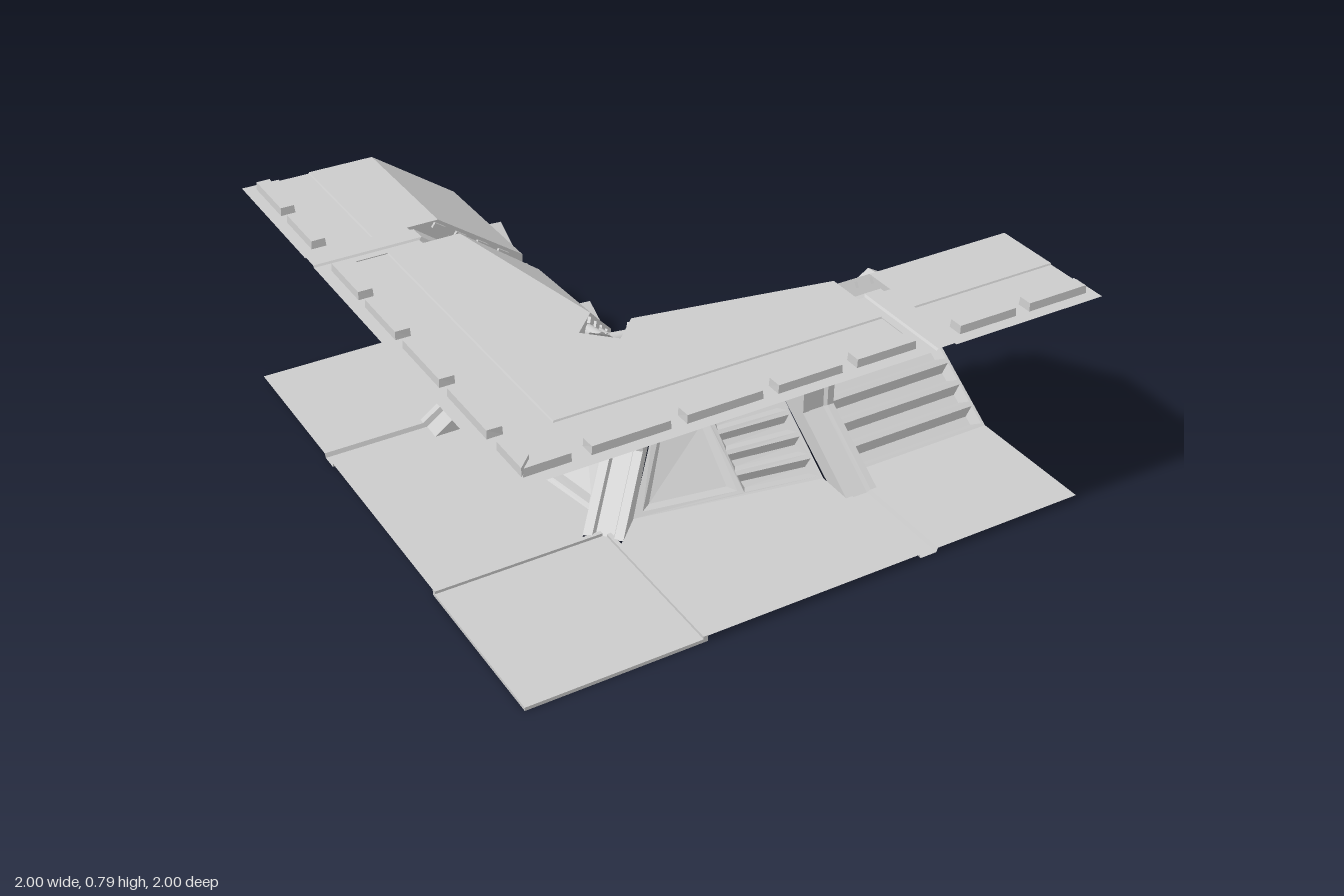
import * as THREE from 'three';
import { mergeGeometries } from 'three/addons/utils/BufferGeometryUtils.js';

const flat = new THREE.MeshStandardMaterial({ color: 0xcccccc, flatShading: true, side: THREE.DoubleSide });
const smooth = new THREE.MeshStandardMaterial({ color: 0xcccccc, side: THREE.DoubleSide });
const V = (x, y, z) => new THREE.Vector3(x, y, z);

function add(parent, name, geo, mat = flat) {
  const mesh = new THREE.Mesh(geo, mat);
  mesh.name = name;
  parent.add(mesh);
  return mesh;
}

// Loose triangles from a list of quads (four Vector3 each)
function quads(list) {
  const geo = new THREE.BufferGeometry().setFromPoints(list.flatMap(([a, b, c, d]) => [a, b, c, a, c, d]));
  geo.computeVertexNormals();
  return geo;
}

// Four-cornered sheet with stepped pockets; pocket points are 0..1 across A-B and A-D,
// and each step is [inset, depth], the last one closing the pocket
function panel(parent, name, [A, B, C, D], pockets = []) {
  const normal = B.clone().sub(A).cross(D.clone().sub(A)).normalize();
  const lenU = A.distanceTo(B), lenV = A.distanceTo(D);
  const at = (u, v, h = 0) => A.clone().lerp(B, u).lerp(D.clone().lerp(C, u), v).addScaledVector(normal, h);
  const sheet = (pts, holes, h) => {
    const shape = new THREE.Shape(pts.map(p => new THREE.Vector2(...p)));
    shape.holes = holes.map(q => new THREE.Path(q.map(p => new THREE.Vector2(...p))));
    const g = new THREE.ShapeGeometry(shape).toNonIndexed();
    const pos = g.attributes.position;
    for (let i = 0; i < pos.count; i++) pos.setXYZ(i, ...at(pos.getX(i), pos.getY(i), h).toArray());
    g.deleteAttribute('uv');
    g.computeVertexNormals();
    return g;
  };
  const parts = [sheet([[0, 0], [1, 0], [1, 1], [0, 1]], pockets.map(p => p.pts), 0)];
  for (const { pts, steps } of pockets) {
    const us = pts.map(p => p[0]), vs = pts.map(p => p[1]);
    const u0 = Math.min(...us), u1 = Math.max(...us), v0 = Math.min(...vs), v1 = Math.max(...vs);
    const cu = (u0 + u1) / 2, cv = (v0 + v1) / 2;
    let ring = pts, height = 0;
    for (const [inset, depth] of steps) {
      const su = 1 - 2 * inset / lenU / (u1 - u0), sv = 1 - 2 * inset / lenV / (v1 - v0);
      const next = pts.map(([u, v]) => [cu + (u - cu) * su, cv + (v - cv) * sv]);
      parts.push(quads(ring.map((p, i) => {
        const j = (i + 1) % pts.length;
        return [at(...p, height), at(...ring[j], height), at(...next[j], depth), at(...next[i], depth)];
      })));
      ring = next;
      height = depth;
    }
    parts.push(sheet(ring, [], height));
  }
  return add(parent, name, mergeGeometries(parts));
}

// Flat polygon given as [x, z] points
function deck(parent, name, y, pts) {
  const g = new THREE.ShapeGeometry(new THREE.Shape(pts.map(([x, z]) => new THREE.Vector2(x, -z))));
  return add(parent, name, g.rotateX(-Math.PI / 2).translate(0, y, 0));
}

function box(parent, name, x0, x1, y0, y1, z0, z1) {
  return add(parent, name, new THREE.BoxGeometry(x1 - x0, y1 - y0, z1 - z0)
    .translate((x0 + x1) / 2, (y0 + y1) / 2, (z0 + z1) / 2));
}

// Upright wall with a rimmed hexagonal recess between two side recesses
function wall(parent, x0, x1, yLeft, yRight, cx, R, sides) {
  const uv = pts => pts.map(([x, y]) => [(x - x0) / (x1 - x0), (y - 0.22) / (yRight - 0.22)]);
  const hex = Array.from({ length: 6 }, (_, i) =>
    [cx + R * Math.sin(i * Math.PI / 3) * 0.97, 0.385 + R * Math.cos(i * Math.PI / 3)]);
  const pockets = [{ pts: uv(hex), steps: [[0.003, -0.05], [0.022, -0.05], [0.024, -0.038]] }];
  for (const [near, far] of sides)
    pockets.push({ pts: uv([[near, 0.34], [far, 0.27], [far, 0.5], [near, 0.43]]), steps: [[0.003, -0.03]] });
  panel(parent, 'wall', [V(x0, 0.22, 0.23), V(x1, 0.22, 0.23), V(x1, yRight, 0.23), V(x0, yLeft, 0.23)], pockets);
}

// Lower slope with four louvers from x0 to x1, and extra pockets given as [x, v] outlines
function lowerSlope(parent, name, corners, x0, x1, extra = []) {
  const [a, b, c, d] = corners;
  const u = (x, v) => {
    const left = THREE.MathUtils.lerp(a.x, d.x, v), right = THREE.MathUtils.lerp(b.x, c.x, v);
    return (x - left) / (right - left);
  };
  const pocket = (pts, steps) => ({ pts: pts.map(([x, v]) => [u(x, v), v]), steps });
  const slats = [0, 1, 2, 3].map(i => {
    const v0 = 0.03 + i * 0.24, v1 = v0 + 0.19;
    return pocket([[x0, v0], [x1, v0], [x1, v1], [x0, v1]], [[0.018, -0.035]]);
  });
  panel(parent, name, corners, [...slats, ...extra.map(pts => pocket(pts, [[0.025, -0.03]]))]);
}

// Folded rib: a grooved strip following a (z, y) profile, with jambs out to the panel edges
function rib(inner, outer, edge, half) {
  const g = new THREE.Group();
  const section = [[-half, 0], [-0.036, 0], [-0.03, 1], [0.03, 1], [0.036, 0], [half, 0]];
  const point = ([t, k], i) => V(t, THREE.MathUtils.lerp(inner[i][1], outer[i][1], k),
    THREE.MathUtils.lerp(inner[i][0], outer[i][0], k));
  const list = [];
  for (let i = 0; i < inner.length - 1; i++)
    for (let j = 0; j < section.length - 1; j++)
      list.push([point(section[j], i), point(section[j + 1], i), point(section[j + 1], i + 1), point(section[j], i + 1)]);
  add(g, 'ribStrip', quads(list));
  const bend = inner.length === 6 ? inner.slice(1, 5) : inner;
  for (const s of [-1, 1]) {
    const jamb = [];
    for (let i = 0; i < 3; i++) {
      const e = [edge[i], edge[i + 1]].map(p => V(s * half, p[1], p[0]));
      const r = [bend[i + 1], bend[i]].map(p => V(s * half, p[1], p[0]));
      jamb.push([...e, ...r]);
      // Small blocks on the jamb: two on the upright, four on each slope
      const dir = e[1].clone().sub(e[0]), count = i === 1 ? 2 : 4;
      const lean = r[0].clone().add(r[1]).sub(e[0]).sub(e[1]).multiplyScalar(0.15);
      for (let k = 0; k < count; k++) {
        const block = add(g, 'jambBlock', new THREE.BoxGeometry(0.01, 0.045, 0.02));
        block.position.copy(e[0]).addScaledVector(dir, (k + 0.5) / count).add(lean);
        block.position.x -= s * 0.005;
        block.rotation.x = Math.atan2(dir.z, dir.y);
      }
    }
    add(g, 'ribJamb', quads(jamb));
  }
  return g;
}

// Ceiling edge strip with raised bars (outlines in x, z), plus the shallow channel beside it
function ceilingEdge(parent, x0, x1, bars) {
  const mitre = z => (x0 === -1 ? -z : x0);
  const toUV = ([x, z]) => [(x - mitre(z)) / (x1 - mitre(z)), (1 - z) / 0.13];
  panel(parent, 'ceilingEdge',
    [V(x0, 0.762, 1), V(x1, 0.762, 1), V(x1, 0.762, 0.87), V(mitre(0.87), 0.762, 0.87)],
    bars.map(([a, b, start = a]) => ({
      pts: [[a, 0.96], [b, 0.96], [b, 0.91], [start, 0.91]].map(toUV), steps: [[0.002, 0.027]],
    })));
  const row = (z, y) => [V(mitre(z), y, z), V(x1, y, z)];
  const rows = [row(0.87, 0.762), row(0.867, 0.757), row(0.763, 0.757), row(0.76, 0.762)];
  add(parent, 'ceilingChannel', quads([0, 1, 2].map(i => [...rows[i], rows[i + 1][1], rows[i + 1][0]])));
}

function pipe(parent, from, to, r) {
  const dir = to.clone().sub(from);
  const mesh = add(parent, 'pipe', new THREE.CylinderGeometry(r, r, dir.length(), 16), smooth);
  mesh.position.copy(from).addScaledVector(dir, 0.5);
  mesh.quaternion.setFromUnitVectors(V(0, 1, 0), dir.normalize());
}

function buildArm() {
  const arm = new THREE.Group();

  // Ceiling
  ceilingEdge(arm, -1, 0.35, [[-0.957, -0.81, -0.907], [-0.75, -0.5], [-0.45, -0.2], [-0.15, 0.07], [0.12, 0.33]]);
  ceilingEdge(arm, 0.47, 1, [[0.49, 0.7], [0.75, 0.97]]);
  deck(arm, 'cornerCeiling', 0.762,
    [[-0.76, 0.76], [0.35, 0.76], [0.35, 0.51], [-0.3, 0.39], [-0.385, 0.475], [-0.43, 0.43]]);
  deck(arm, 'endCeiling', 0.762, [[0.47, 0.76], [1, 0.76], [1, 0.53], [0.47, 0.53]]);

  // Upper slopes
  panel(arm, 'cornerUpperSlope', [V(-0.13, 0.57, 0.23), V(0.35, 0.55, 0.23), V(0.35, 0.762, 0.51), V(-0.3, 0.762, 0.39)]);
  panel(arm, 'endUpperSlope', [V(0.47, 0.55, 0.23), V(1, 0.55, 0.23), V(1, 0.762, 0.53), V(0.47, 0.762, 0.53)]);

  // Walls
  wall(arm, -0.13, 0.35, 0.57, 0.55, 0.09, 0.152, [[-0.065, -0.12], [0.24, 0.32]]);
  wall(arm, 0.47, 1, 0.55, 0.55, 0.73, 0.158, [[0.56, 0.49], [0.91, 0.99]]);

  // Lower slopes
  lowerSlope(arm, 'cornerLowerSlope',
    [V(-0.3, 0.02, 0.39), V(0.35, 0.02, 0.51), V(0.35, 0.22, 0.23), V(-0.13, 0.22, 0.23)], 0.08, 0.34,
    [[[-0.26, 0.06], [0.06, 0.06], [0.06, 0.95], [-0.11, 0.95]]]);
  lowerSlope(arm, 'endLowerSlope',
    [V(0.47, 0.02, 0.53), V(1, 0.02, 0.53), V(1, 0.22, 0.23), V(0.47, 0.22, 0.23)], 0.48, 0.99);

  // Floor
  deck(arm, 'cornerFloor', 0.02, [[-0.4, 1], [0.35, 1], [0.35, 0.51], [-0.3, 0.39], [-0.4, 0.49]]);
  deck(arm, 'endFloor', 0.02, [[0.47, 1], [1, 1], [1, 0.53], [0.47, 0.53]]);
  box(arm, 'floorLip', -0.41, -0.395, 0, 0.022, 0.42, 1);

  // Rib between the two bays
  const bayRib = rib(
    [[1, 0.762], [0.64, 0.762], [0.38, 0.56], [0.38, 0.2], [0.64, 0.02], [1, 0.02]],
    [[1, 0.768], [0.63, 0.768], [0.365, 0.57], [0.365, 0.19], [0.63, 0.005], [1, 0.005]],
    [[0.53, 0.762], [0.23, 0.55], [0.23, 0.22], [0.53, 0.02]], 0.06);
  bayRib.name = 'bayRib';
  bayRib.position.x = 0.41;
  arm.add(bayRib);
  box(arm, 'ribCeilingBlock', 0.35, 0.47, 0.727, 0.76, 0.76, 0.87);

  // Pipes inside the upper slopes, stopping at the rib and at the corner pillar
  for (const [y, r, zBay, xTip, zTip] of [
    [0.718, 0.02, 0.535, -0.38, 0.4], [0.653, 0.02, 0.44, -0.3, 0.335], [0.59, 0.017, 0.345, -0.24, 0.28]]) {
    pipe(arm, V(0.47, y, zBay), V(1, y, zBay), r);
    pipe(arm, V(xTip, y, zTip), V(0.35, y, zBay), r);
  }
  return arm;
}

export function createModel() {
  const model = new THREE.Group();
  model.name = 'corridorCorner';

  // Two arms mirrored across the corner diagonal
  const frontArm = buildArm();
  frontArm.name = 'frontArm';
  const sideArm = buildArm();
  sideArm.name = 'sideArm';
  sideArm.scale.z = -1;
  sideArm.rotation.y = Math.PI / 2;
  model.add(frontArm, sideArm);

  // Corner pillar on the diagonal
  const pillar = rib(
    [[0.608, 0.762], [0.368, 0.56], [0.368, 0.2], [0.608, 0.02]],
    [[0.608, 0.768], [0.35, 0.57], [0.35, 0.19], [0.6, 0.002]],
    [[0.488, 0.762], [0.255, 0.57], [0.255, 0.22], [0.488, 0.02]], 0.066);
  pillar.name = 'cornerPillar';
  pillar.rotation.y = -Math.PI / 4;
  model.add(pillar);

  // Corner floor tile
  box(model, 'cornerFloorTile', -1, -0.4, 0, 0.012, 0.4, 1);
  return model;
}
